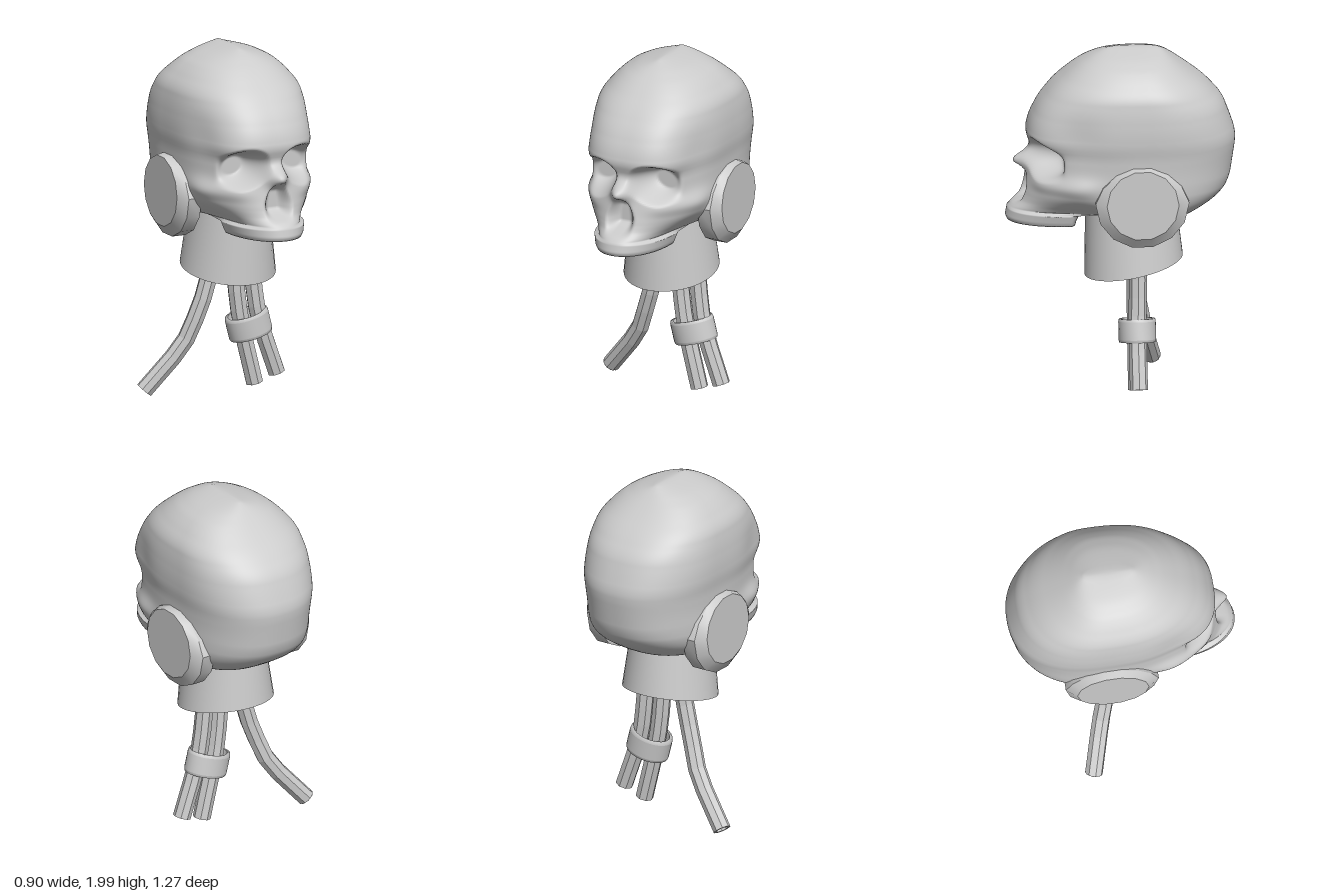
import * as THREE from 'three';
import { toCreasedNormals } from 'three/addons/utils/BufferGeometryUtils.js';

const { smoothstep, lerp } = THREE.MathUtils;
const CX = 0.038; // middle plane of the head
const grey = new THREE.MeshStandardMaterial({ color: 0xcccccc });
const greyFlat = new THREE.MeshStandardMaterial({ color: 0xcccccc, flatShading: true, side: THREE.DoubleSide });
const gauss = (v, c, s) => Math.exp(-(((v - c) / s) ** 2));

function add(parent, name, geometry, material = grey) {
  const mesh = new THREE.Mesh(geometry, material);
  mesh.name = name;
  parent.add(mesh);
  return mesh;
}

// Horizontal sections of the skull: y, front z, back z, z of widest point, half width, front squareness
const SECTIONS = [
  [1.02, 0.63, 0.25, 0.29, 0.2, 2.1],
  [1.04, 0.64, 0.245, 0.29, 0.21, 2.1],
  [1.09, 0.63, 0.22, 0.28, 0.225, 2.1],
  [1.105, 0.615, -0.38, -0.1, 0.28, 2.4],
  [1.15, 0.565, -0.47, -0.1, 0.33, 2.3],
  [1.2, 0.55, -0.565, -0.12, 0.355, 2.2],
  [1.26, 0.535, -0.605, -0.12, 0.36, 2.2],
  [1.36, 0.51, -0.62, -0.13, 0.36, 2.4],
  [1.46, 0.5, -0.635, -0.15, 0.365, 2.6],
  [1.51, 0.53, -0.635, -0.15, 0.375, 2.8],
  [1.6, 0.51, -0.605, -0.15, 0.378, 2.7],
  [1.7, 0.46, -0.567, -0.14, 0.372, 2.6],
  [1.8, 0.38, -0.475, -0.12, 0.355, 2.5],
  [1.9, 0.265, -0.345, -0.1, 0.27, 2.4],
  [1.95, 0.19, -0.28, -0.09, 0.2, 2.3],
  [1.98, 0.12, -0.24, -0.07, 0.1, 2.2],
  [2.0, 0.06, -0.2, -0.06, 0.02, 2],
];

function sectionAt(y) {
  const i = Math.max(1, SECTIONS.findIndex((s) => s[0] >= y - 1e-6));
  const a = SECTIONS[i - 1], b = SECTIONS[i];
  return a.map((v, c) => lerp(v, b[c], (y - a[0]) / (b[0] - a[0])));
}

// Section rounded off between the given ones, except near jaw and crown
function smoothSection(y) {
  const reach = Math.max(0, Math.min(0.03, (y - 1.11) / 2, (2 - y) / 2));
  const near = [-1, -0.5, 0, 0.5, 1].map((k) => sectionAt(y + k * reach));
  return near[0].map((_, c) => near.reduce((sum, s) => sum + s[c], 0) / near.length);
}

// Carves the face into a point of the plain section
function sculpt(x, y, z) {
  const side = Math.abs(x), y0 = y;
  if (y > 1.095) { // hollow below the cheekbones
    x *= 1 - 0.15 * (1 - smoothstep(y, 1.1, 1.21)) * smoothstep(z, 0.0, 0.3);
  }
  x *= 1 - 0.06 * gauss(y, 1.56, 0.14) * gauss(z, 0.28, 0.14); // temples
  x *= 1 + 0.09 * gauss(y, 1.27, 0.06) * gauss(z, 0.25, 0.12); // cheek arches
  // base of the skull drops behind the neck
  if (y > 1.095) y -= 0.045 * (1 - smoothstep(y, 1.1, 1.3)) * (1 - smoothstep(z, -0.25, 0.05));
  if (z > 0.1) {
    z += 0.03 * gauss(side, 0.24, 0.08) * gauss(y0, 1.27, 0.05); // cheekbones
    z += 0.085 * gauss(side, 0, 0.055) * gauss(y0, 1.36, 0.05); // nose bridge
    // eye sockets
    const d = Math.hypot((side - 0.185) / 0.15, (y0 - 1.408 + (side - 0.185) * 0.15) / 0.118);
    z = Math.min(z, lerp(z, 0.325, 1 - smoothstep(d, 0.4, 1.05)));
    // nose opening, narrowing upwards
    const half = 0.03 + 0.065 * smoothstep(1.36 - y0, 0, 0.16);
    const open = (1 - smoothstep(side / half, 0.3, 1)) * smoothstep(y0, 1.115, 1.18) * (1 - smoothstep(y0, 1.27, 1.345));
    z = lerp(z, 0.465, open);
  }
  return [x + CX, y, z];
}

function skullGeometry() {
  const N = 240, ROWS = 131, BACK = 2.3;
  const pos = [], index = [];
  for (let i = 0; i < ROWS; i++) {
    const [y, zF, zB, zc, w, front] = smoothSection(lerp(1.02, 2, i / (ROWS - 1)));
    for (let j = 0; j < N; j++) {
      const s = Math.sin((j / N) * Math.PI * 2), c = Math.cos((j / N) * Math.PI * 2);
      const n = c > 0 ? front : BACK;
      const r = (Math.abs(s) ** n + Math.abs(c) ** n) ** (-1 / n);
      pos.push(...sculpt(s * r * w, y, zc + c * r * (c > 0 ? zF - zc : zc - zB)));
    }
  }
  for (let i = 0; i < ROWS - 1; i++) {
    for (let j = 0; j < N; j++) {
      const a = i * N + j, b = i * N + ((j + 1) % N);
      index.push(a, b, b + N, a, b + N, a + N);
    }
  }
  // palate below and crown above
  const palate = ROWS * N, crown = palate + 1, last = (ROWS - 1) * N;
  pos.push(CX, 1.06, 0.4, CX, 2, -0.06);
  for (let j = 0; j < N; j++) {
    const k = (j + 1) % N;
    index.push(palate, k, j, last + j, last + k, crown);
  }
  const g = new THREE.BufferGeometry();
  g.setAttribute('position', new THREE.Float32BufferAttribute(pos, 3));
  g.setIndex(index);
  g.computeVertexNormals();
  return g;
}

// Neck: tapered oval column cut off on a slant
function neckGeometry() {
  const g = new THREE.CylinderGeometry(1, 1, 1, 40);
  const p = g.attributes.position;
  for (let i = 0; i < p.count; i++) {
    const top = p.getY(i) > 0;
    const z = (top ? -0.055 : -0.073) + p.getZ(i) * (top ? 0.25 : 0.273);
    p.setXYZ(i, CX + p.getX(i) * (top ? 0.21 : 0.264), top ? 1.13 : 0.68 + (0.2 - z) * 0.2, z);
  }
  return toCreasedNormals(g, 0.7);
}

// Ear ring lying along x; its wide rim is drawn in at the top so it fades into the skull
function earRing(side, outer, inner, from, to) {
  const g = new THREE.CylinderGeometry(outer, inner, to - from, 14);
  g.translate(0, (from + to) / 2, 0).rotateZ(-side * Math.PI / 2);
  const p = g.attributes.position;
  for (let i = 0; i < p.count; i++) {
    const y = p.getY(i), z = p.getZ(i);
    if (y > 0 && Math.hypot(y, z) > 0.21) p.setXYZ(i, p.getX(i), y * 0.8, z * lerp(1, 0.85, y / 0.26));
  }
  return toCreasedNormals(g, 0.6);
}

// Hollow eight-sided cable through a few points
function addCable(parent, name, points) {
  const cable = new THREE.Group();
  cable.name = name;
  const curve = new THREE.CatmullRomCurve3(points.map((p) => new THREE.Vector3(...p)));
  add(cable, 'cableSheath', new THREE.TubeGeometry(curve, 7, 0.05, 8), greyFlat);
  add(cable, 'cableBore', new THREE.TubeGeometry(curve, 7, 0.036, 8), greyFlat);
  const end = add(cable, 'cableEnd', new THREE.RingGeometry(0.035, 0.05, 8), greyFlat);
  end.position.copy(curve.getPoint(1));
  end.lookAt(end.position.clone().add(curve.getTangent(1)));
  parent.add(cable);
}

export function createModel() {
  const model = new THREE.Group();
  model.name = 'mechanicalSkull';
  add(model, 'skull', skullGeometry());
  add(model, 'neck', neckGeometry());

  // Ear discs with a bevelled rim
  for (const side of [-1, 1]) {
    const ear = new THREE.Group();
    ear.name = side > 0 ? 'leftEar' : 'rightEar';
    add(ear, 'earRim', earRing(side, 0.26, 0.26, 0.285, 0.365));
    add(ear, 'earDisc', earRing(side, 0.2, 0.26, 0.365, 0.408));
    ear.position.set(CX, 1.2, -0.095);
    model.add(ear);
  }

  // Cables hanging from the neck
  addCable(model, 'rightCable', [[-0.05, 0.8, -0.09], [-0.085, 0.63, -0.09], [-0.14, 0.46, -0.11], [-0.2, 0.31, -0.14], [-0.412, 0.046, -0.21]]);
  addCable(model, 'innerLeftCable', [[0.085, 0.8, -0.08], [0.09, 0.65, -0.08], [0.12, 0.42, -0.08], [0.208, 0.052, -0.08]]);
  addCable(model, 'outerLeftCable', [[0.19, 0.8, -0.085], [0.2, 0.65, -0.085], [0.235, 0.42, -0.08], [0.345, 0.095, -0.08]]);

  // Oval clip holding two cables together
  const profile = [[0.84, -0.065], [0.97, -0.065], [1, -0.05], [1, 0.05], [0.97, 0.065], [0.84, 0.065], [0.84, -0.065]];
  const clip = add(model, 'cableClip', toCreasedNormals(
    new THREE.LatheGeometry(profile.map((p) => new THREE.Vector2(...p)), 28), 0.7));
  clip.scale.set(0.128, 1, 0.104);
  clip.position.set(0.172, 0.388, -0.083);
  clip.rotation.z = 0.25;
  return model;
}
